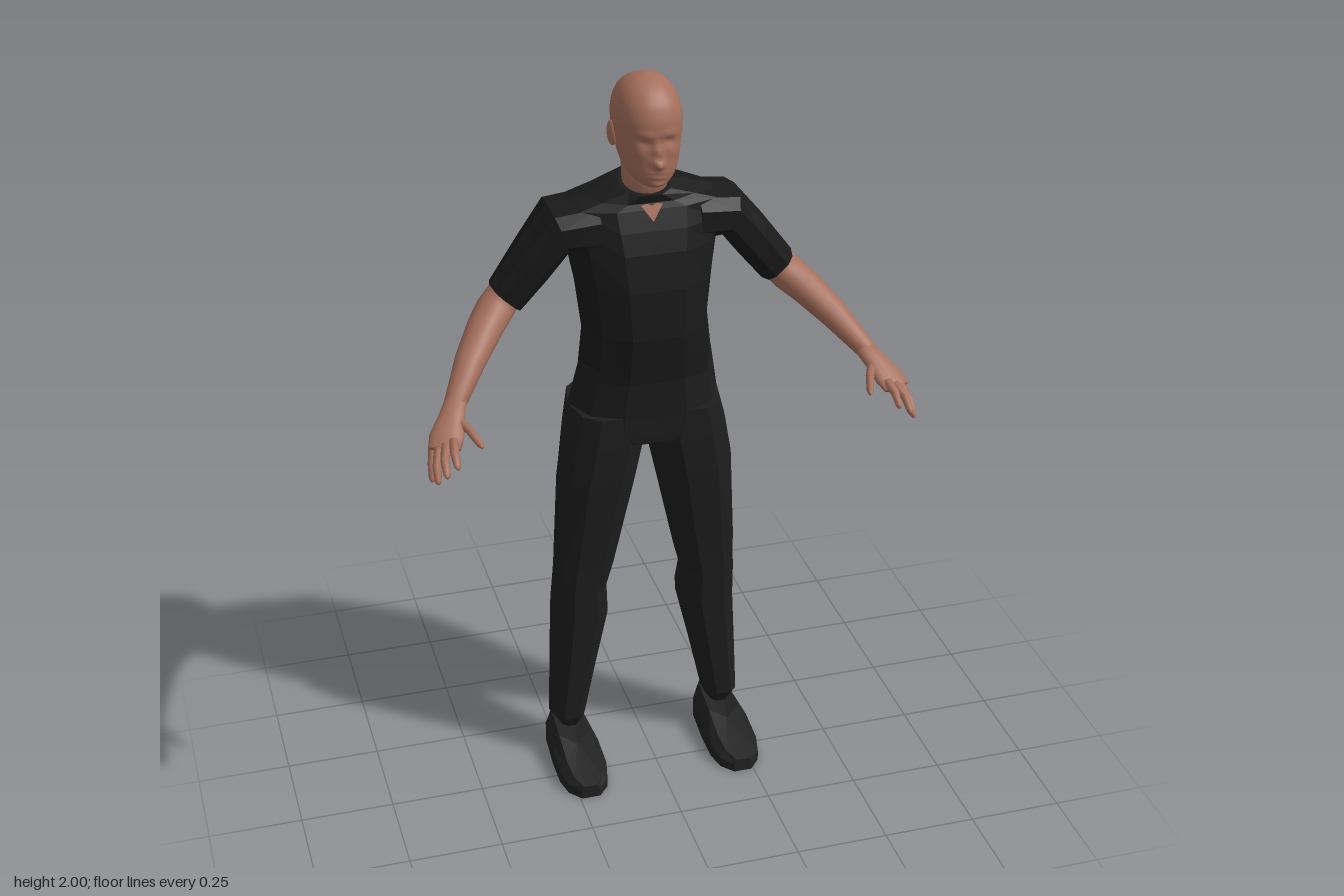
import * as THREE from 'three';

const mat = (name, color) => Object.assign(new THREE.MeshStandardMaterial({ color }), { name });
const V = (x, y, z) => new THREE.Vector3(x, y, z);

// Skin a stack of equal-length rings, cap both ends and face the result outward
function loft(rings, flat) {
  const n = rings[0].length, pts = rings.flat(), idx = [];
  for (let i = 0; i < rings.length - 1; i++)
    for (let j = 0; j < n; j++) {
      const a = i * n + j, b = i * n + (j + 1) % n;
      idx.push(a, b + n, b, a, a + n, b + n);
    }
  for (const [start, up] of [[0, false], [(rings.length - 1) * n, true]]) {
    const c = V(0, 0, 0);
    for (let j = 0; j < n; j++) c.addScaledVector(pts[start + j], 1 / n);
    const k = pts.push(c) - 1;
    for (let j = 0; j < n; j++) {
      const a = start + j, b = start + (j + 1) % n;
      idx.push(k, up ? b : a, up ? a : b);
    }
  }
  let volume = 0;
  for (let i = 0; i < idx.length; i += 3)
    volume += pts[idx[i]].dot(V(0, 0, 0).crossVectors(pts[idx[i + 1]], pts[idx[i + 2]]));
  if (volume < 0) idx.reverse();
  let g = new THREE.BufferGeometry().setFromPoints(pts);
  g.setIndex(idx);
  if (flat) g = g.toNonIndexed();
  g.computeVertexNormals();
  return g;
}

// Ten-sided garment section with a flat front and back
const SECTION = [[1, 0], [0.8, 0.7], [0.4, 1], [-0.4, 1], [-0.8, 0.7],
  [-1, 0], [-0.8, -0.7], [-0.4, -1], [0.4, -1], [0.8, -0.7]];

// Rows are [y, x0, x1, front, back, tilt]; tilt raises the back of the ring
const garment = (rows, s = 1) => loft(rows.map(([y, x0, x1, f, b, tilt = 0]) =>
  SECTION.map(([u, w]) => V(s * ((x0 + x1) / 2 + u * (x1 - x0) / 2), y - w * tilt,
    (f + b) / 2 + w * (f - b) / 2))), true);

// Rows are [x, y, z, side radius, thickness radius], following a path
function limb(rows, s, n) {
  const p = rows.map(r => V(r[0], r[1], r[2]));
  return loft(rows.map((r, i) => {
    const dir = p[Math.min(i + 1, p.length - 1)].clone().sub(p[Math.max(i - 1, 0)]).normalize();
    const side = dir.clone().cross(V(0, 1, 0)).normalize(), up = side.clone().cross(dir);
    return Array.from({ length: n }, (_, j) => {
      const a = j / n * Math.PI * 2;
      const q = p[i].clone().addScaledVector(side, r[3] * Math.cos(a)).addScaledVector(up, r[4] * Math.sin(a));
      q.x *= s;
      return q;
    });
  }), false);
}

// Head: smooth stack of ovals [y, halfWidth, front, back] with soft facial bumps
function headGeometry() {
  const rows = [[1.732, 0.012, -0.005, -0.06], [1.74, 0.035, 0.013, -0.09], [1.76, 0.056, 0.021, -0.125],
    [1.785, 0.069, 0.023, -0.155], [1.82, 0.077, 0.023, -0.178], [1.86, 0.083, 0.024, -0.195],
    [1.9, 0.085, 0.024, -0.2], [1.94, 0.077, 0.012, -0.192], [1.97, 0.06, -0.012, -0.168],
    [1.99, 0.035, -0.045, -0.13], [2, 0.004, -0.08, -0.09]];
  // [x, y, height, spread x, spread y]: nose, bridge, brows, sockets, cheeks, lips, chin
  const bumps = [[0, 1.802, 0.026, 0.011, 0.012], [0, 1.832, 0.013, 0.008, 0.018],
    [0.03, 1.876, 0.005, 0.022, 0.007], [0.032, 1.856, -0.01, 0.014, 0.009],
    [0.045, 1.825, 0.004, 0.015, 0.012], [0, 1.779, 0.005, 0.02, 0.004],
    [0, 1.766, 0.005, 0.017, 0.004], [0, 1.746, 0.006, 0.018, 0.007]];
  const size = new THREE.CatmullRomCurve3(rows.map(r => V(r[0], r[1], 0)));
  const depth = new THREE.CatmullRomCurve3(rows.map(r => V(r[2], r[3], 0)));
  const rings = [], N = 48;
  for (let i = 0; i <= N; i++) {
    const { x: y, y: w } = size.getPoint(i / N), { x: f, y: b } = depth.getPoint(i / N);
    rings.push(Array.from({ length: N }, (_, j) => {
      const a = j / N * Math.PI * 2, c = Math.cos(a), d = Math.sin(a);
      const x = w * Math.sign(c) * Math.abs(c) ** 0.88;
      let z = (f + b) / 2 + (f - b) / 2 * Math.sign(d) * Math.abs(d) ** 0.88;
      if (d > 0) for (const [bx, by, h, sx, sy] of bumps)
        z += d * h * Math.exp(-(((Math.abs(x) - bx) / sx) ** 2) - ((y - by) / sy) ** 2);
      return V(x, y, z);
    }));
  }
  return loft(rings, false);
}

// Shoe: rounded sole outline whose top slopes down toward the toe
function shoeGeometry(s) {
  const half = [[0.04, -0.205], [0.058, -0.17], [0.066, -0.06], [0.067, 0.03], [0.055, 0.085], [0.025, 0.12]];
  const outline = [...half, ...half.map(([x, z]) => [-x, z]).reverse()];
  const height = z => THREE.MathUtils.clamp(0.1 - (z + 0.09) * 0.3, 0.038, 0.1);
  return loft([[0, 1], [0.6, 1], [1, 0.68]].map(([t, w]) =>
    outline.map(([x, z]) => V(s * (0.219 + x * w), t * height(z), z))), true);
}

export function createModel() {
  const model = new THREE.Group();
  model.name = 'standingMan';
  const skin = mat('skin', 0xa56f5c), shirt = mat('shirtBlack', 0x1a1a1a);
  const trousers = mat('trouserBlack', 0x1e1e1e), shoe = mat('shoeBlack', 0x222222);
  const add = (name, geometry, material) => {
    const m = new THREE.Mesh(geometry, material);
    m.name = name;
    model.add(m);
    return m;
  };

  // Head and neck
  add('head', headGeometry(), skin);
  add('neck', loft([[1.67, 0.062, -0.05, -0.165], [1.72, 0.057, -0.04, -0.168], [1.8, 0.06, -0.04, -0.165]].map(
    ([y, w, f, b]) => Array.from({ length: 20 }, (_, j) => {
      const a = j / 10 * Math.PI;
      return V(w * Math.cos(a), y, (f + b) / 2 + (f - b) / 2 * Math.sin(a));
    })), false), skin);

  // Shirt body, with the collar higher at the back
  add('shirtBody', garment([[1.2, 0.182, 0.013, -0.225], [1.33, 0.168, 0.027, -0.24], [1.46, 0.183, 0.021, -0.25],
    [1.555, 0.2, 0.003, -0.262], [1.61, 0.215, -0.014, -0.255], [1.66, 0.225, -0.034, -0.235],
    [1.685, 0.15, -0.042, -0.205, 0.01], [1.715, 0.068, -0.036, -0.172, 0.018]]
    .map(([y, w, ...r]) => [y, -w, w, ...r])), shirt);

  // Skin showing through the open neckline
  const notch = new THREE.Shape([[-0.028, 0.02], [-0.012, 0.024], [0, 0.018], [0.012, 0.024], [0.028, 0.02], [0, -0.022]]
    .map(([x, y]) => new THREE.Vector2(x, y)));
  const patch = add('necklineOpening', new THREE.ExtrudeGeometry(notch, { depth: 0.006, bevelEnabled: false }), skin);
  patch.position.set(0, 1.652, -0.032);
  patch.rotation.x = -0.38;

  // Seat of the trousers
  add('trouserSeat', garment([[1.015, 0.13, -0.005, -0.225], [1.04, 0.2, -0.002, -0.245], [1.09, 0.206, 0, -0.265],
    [1.23, 0.179, 0.014, -0.222]].map(([y, w, ...r]) => [y, -w, w, ...r])), trousers);

  for (const [s, sideName] of [[1, 'left'], [-1, 'right']]) {
    // Sleeve rings: top corner, bottom corner, front and back
    const sleeve = [[0.13, 1.68, 0.13, 1.54, -0.03, -0.235], [0.245, 1.665, 0.2, 1.545, -0.035, -0.235],
      [0.32, 1.575, 0.255, 1.475, -0.05, -0.205], [0.4, 1.468, 0.322, 1.395, -0.072, -0.178]];
    add(sideName + 'Sleeve', loft(sleeve.map(([x0, y0, x1, y1, f, b]) => SECTION.map(([u, w]) =>
      V(s * ((x0 + x1) / 2 + u * (x0 - x1) / 2), (y0 + y1) / 2 + u * (y0 - y1) / 2,
        (f + b) / 2 + w * (f - b) / 2))), true), shirt);

    // Forearm and palm
    add(sideName + 'Forearm', limb([[0.325, 1.475, -0.125, 0.04, 0.04], [0.365, 1.43, -0.125, 0.047, 0.045],
      [0.39, 1.405, -0.11, 0.05, 0.046], [0.425, 1.378, -0.07, 0.047, 0.043], [0.48, 1.325, 0, 0.04, 0.036],
      [0.54, 1.255, 0.085, 0.028, 0.024]], s, 14), skin);
    add(sideName + 'Palm', limb([[0.532, 1.265, 0.073, 0.027, 0.023], [0.555, 1.235, 0.115, 0.034, 0.021],
      [0.576, 1.208, 0.155, 0.044, 0.018], [0.588, 1.19, 0.185, 0.041, 0.013]], s, 14), skin);

    // Fingers from knuckle to tip, then the thumb
    const fingers = [[[0.611, 1.185, 0.155], [0.621, 1.15, 0.185], [0.625, 1.113, 0.203]],
      [[0.6, 1.192, 0.172], [0.614, 1.16, 0.213], [0.617, 1.125, 0.24]],
      [[0.584, 1.198, 0.182], [0.596, 1.18, 0.225], [0.598, 1.152, 0.264]],
      [[0.564, 1.207, 0.18], [0.57, 1.192, 0.222], [0.57, 1.168, 0.256]],
      [[0.549, 1.235, 0.11], [0.521, 1.222, 0.165], [0.501, 1.2, 0.222]]];
    fingers.forEach(([a, b, c], i) => {
      const tip = b.map((v, k) => v + (c[k] - v) * 0.8);
      add(sideName + (i < 4 ? 'Finger' + (i + 1) : 'Thumb'), limb([[...a, 0.012, 0.012],
        [...b, 0.011, 0.011], [...tip, 0.009, 0.009], [...c, 0.004, 0.004]], s, 8), skin);
    });

    // Ear
    const ear = add(sideName + 'Ear', new THREE.SphereGeometry(1, 14, 10), skin);
    ear.scale.set(0.01, 0.032, 0.019);
    ear.position.set(s * 0.085, 1.85, -0.095);
    ear.rotation.set(-0.15, s * -0.3, 0);

    // Trouser leg
    add(sideName + 'TrouserLeg', garment([[0.095, 0.188, 0.25, -0.09, -0.19], [0.13, 0.172, 0.273, -0.075, -0.2],
      [0.3, 0.135, 0.267, -0.066, -0.218], [0.46, 0.098, 0.261, -0.058, -0.234], [0.55, 0.105, 0.258, -0.053, -0.208],
      [0.63, 0.083, 0.255, -0.046, -0.19], [0.9, 0.024, 0.242, -0.012, -0.212], [1.01, 0.001, 0.225, -0.003, -0.235],
      [1.1, 0.001, 0.204, -0.002, -0.258]], s), trousers);

    add(sideName + 'Shoe', shoeGeometry(s), shoe);
  }
  return model;
}
